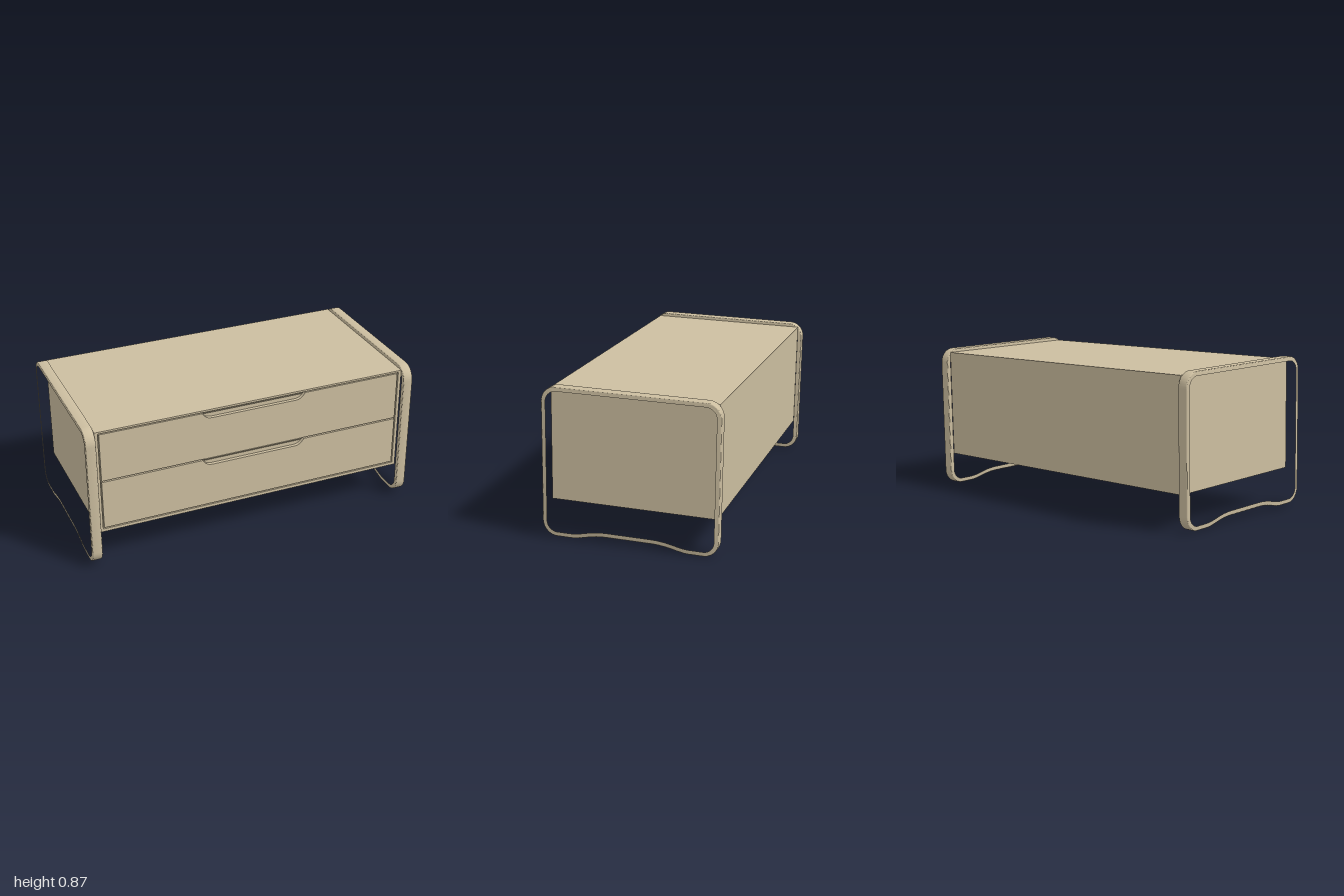
import * as THREE from 'three';
import { toCreasedNormals } from 'three/addons/utils/BufferGeometryUtils.js';

const wood = new THREE.MeshStandardMaterial({ color: 0xccbea0 });
wood.name = 'pale wood';

// Cabinet extents, measured from the middle of the side frames
const HALF_W = 0.927, TOP = 0.403, BOTTOM = -0.23;
const FRONT = 0.464, BACK = -0.472, PANEL = 0.02;

function add(parent, name, geometry) {
  const mesh = new THREE.Mesh(geometry, wood);
  mesh.name = name;
  parent.add(mesh);
  return mesh;
}

// Traces the loop of a side frame; the bottom rail rises in a shallow arch
function traceLoop(path, inset) {
  const w = 0.497 - inset, h = 0.423 - inset, r = 0.085 - inset, rise = 0.03;
  path.moveTo(-w + r, h);
  path.lineTo(w - r, h);
  path.absarc(w - r, h - r, r, Math.PI / 2, 0, true);
  path.lineTo(w, -h + r);
  path.absarc(w - r, -h + r, r, 0, -Math.PI / 2, true);
  path.lineTo(0.34, -h);
  path.bezierCurveTo(0.27, -h, 0.23, -h + rise, 0.12, -h + rise);
  path.lineTo(-0.12, -h + rise);
  path.bezierCurveTo(-0.23, -h + rise, -0.27, -h, -0.34, -h);
  path.lineTo(-w + r, -h);
  path.absarc(-w + r, -h + r, r, -Math.PI / 2, -Math.PI, true);
  path.lineTo(-w, h - r);
  path.absarc(-w + r, h - r, r, Math.PI, Math.PI / 2, true);
  return path;
}

function sideFrameGeometry() {
  const shape = traceLoop(new THREE.Shape(), 0);
  shape.holes.push(traceLoop(new THREE.Path(), 0.02));
  const bevel = 0.005, width = 0.058;
  const g = new THREE.ExtrudeGeometry(shape, {
    depth: width - 2 * bevel, curveSegments: 12,
    bevelThickness: bevel, bevelSize: bevel, bevelOffset: -bevel, bevelSegments: 3,
  });
  g.center();
  g.rotateY(-Math.PI / 2);
  return toCreasedNormals(g, 0.6);
}

function rectangle(path, x, y0, y1) {
  path.moveTo(-x, y0);
  path.lineTo(x, y0);
  path.lineTo(x, y1);
  path.lineTo(-x, y1);
  path.closePath();
  return path;
}

function frontPanel(shape) {
  const g = new THREE.ExtrudeGeometry(shape, { depth: PANEL, bevelEnabled: false, curveSegments: 8 });
  g.translate(0, 0, FRONT - PANEL);
  return toCreasedNormals(g, 0.6);
}

// Drawer front with a round-cornered finger notch in its top edge
function drawerShape(y0, y1) {
  const x = 0.902, n = 0.312, d = y1 - 0.037;
  const s = new THREE.Shape();
  s.moveTo(-x, y0);
  s.lineTo(x, y0);
  s.lineTo(x, y1);
  s.lineTo(n, y1);
  s.bezierCurveTo(n - 0.015, y1 - 0.02, n - 0.025, d, n - 0.06, d);
  s.lineTo(-n + 0.06, d);
  s.bezierCurveTo(-n + 0.025, d, -n + 0.015, y1 - 0.02, -n, y1);
  s.lineTo(-x, y1);
  s.closePath();
  return s;
}

// Slanted underside at the top of a notch
function notchLip(y) {
  const s = new THREE.Shape();
  s.moveTo(FRONT - 0.002, y + 0.004);
  s.lineTo(FRONT - PANEL, y + 0.004);
  s.lineTo(FRONT - PANEL, y - 0.014);
  s.closePath();
  const g = new THREE.ExtrudeGeometry(s, { depth: 0.6, bevelEnabled: false });
  g.translate(0, 0, -0.3);
  g.rotateY(-Math.PI / 2);
  return g;
}

export function createModel() {
  const model = new THREE.Group();
  model.name = 'drawerCabinet';

  // Cabinet body and the rim around the drawers
  const depth = FRONT - PANEL - BACK;
  const body = add(model, 'cabinetBody', new THREE.BoxGeometry(2 * HALF_W, TOP - BOTTOM, depth));
  body.position.set(0, (TOP + BOTTOM) / 2, BACK + depth / 2);
  const rim = rectangle(new THREE.Shape(), HALF_W, BOTTOM, TOP);
  rim.holes.push(rectangle(new THREE.Path(), 0.909, -0.212, 0.392));
  add(model, 'frontRim', frontPanel(rim));

  // Two drawers
  for (const [name, y0, y1] of [['upper', 0.096, 0.386], ['lower', -0.205, 0.088]]) {
    add(model, name + 'Drawer', frontPanel(drawerShape(y0, y1)));
    add(model, name + 'HandleLip', notchLip(y1));
  }

  // Looped side frames
  const loop = sideFrameGeometry();
  for (const [name, side] of [['left', 1], ['right', -1]]) {
    add(model, name + 'SideFrame', loop).position.x = side * 0.958;
  }

  // The piece stands with a very slight tilt
  model.rotation.set(-0.019, -0.016, -0.003);
  model.position.y = 0.433;
  const root = new THREE.Group();
  root.name = 'cabinet';
  root.add(model);
  return root;
}
